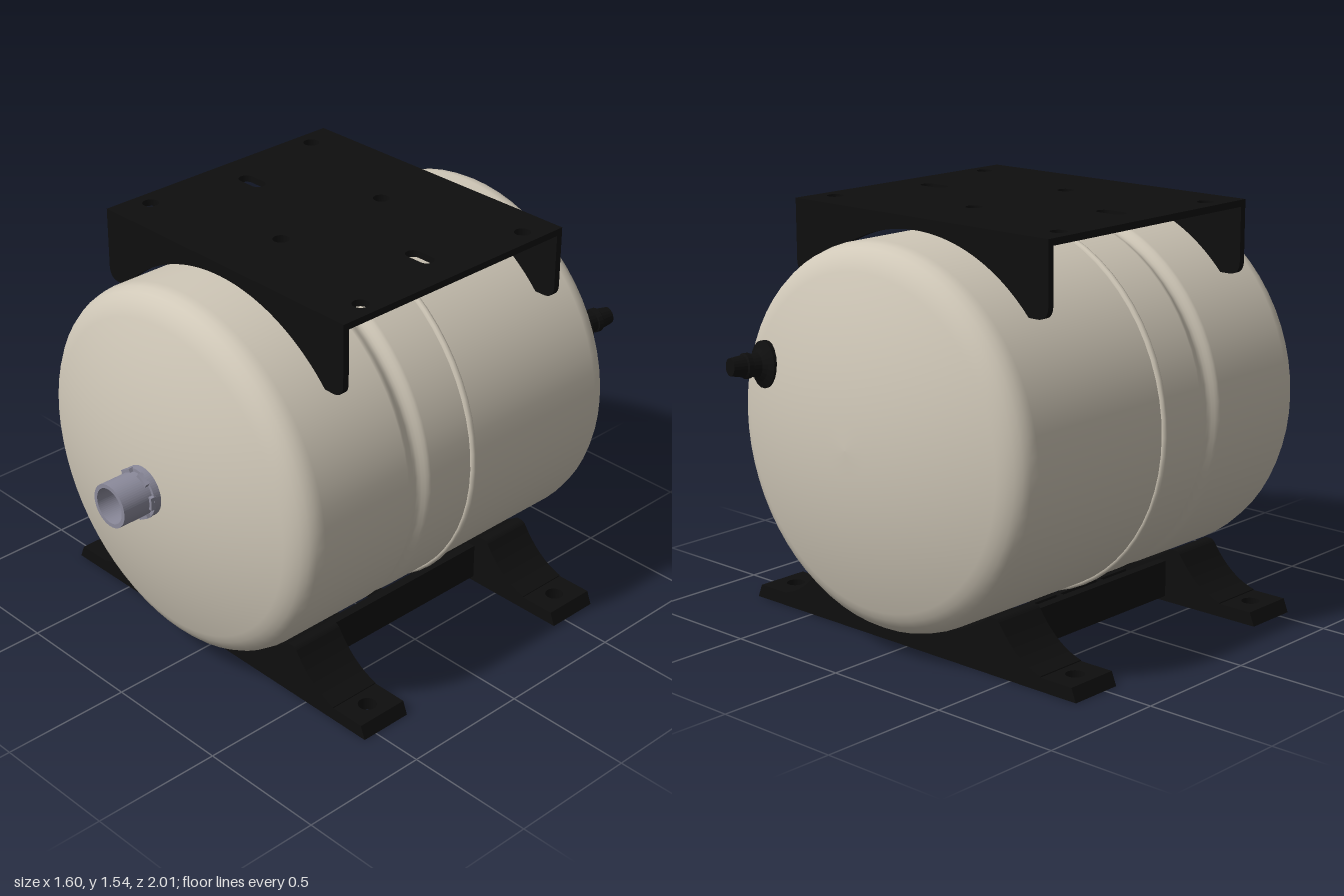
import * as THREE from 'three';

const TANK_Y = 0.79, TANK_X = -0.01, CRADLE_R = 0.71;
const mat = (color) => new THREE.MeshStandardMaterial({ color });
const black = mat(0x0e0e0e), cream = mat(0xd0c8b8), steel = mat(0x8c8b9c);
const V = (x, y) => new THREE.Vector2(x, y);

function add(parent, name, geo, material, x = 0, y = 0, z = 0) {
  const m = new THREE.Mesh(geo, material);
  m.name = name;
  m.position.set(x, y, z);
  parent.add(m);
  return m;
}

const box = (w, h, d) => new THREE.BoxGeometry(w, h, d);
const extrude = (shape, depth) =>
  new THREE.ExtrudeGeometry(shape, { depth, bevelEnabled: false, curveSegments: 24 });

// Hollow ring along y, from y = 0 to h
function ring(rIn, rOut, h, seg = 32) {
  const s = new THREE.Shape().absarc(0, 0, rOut, 0, Math.PI * 2);
  s.holes.push(new THREE.Path().absarc(0, 0, rIn, 0, Math.PI * 2, true));
  return new THREE.ExtrudeGeometry(s, { depth: h, bevelEnabled: false, curveSegments: seg })
    .rotateX(-Math.PI / 2);
}

// Flat horizontal plate with holes; holes are [x, z, radius, half slot length]
function plate(x0, x1, z0, z1, thick, holes) {
  const s = new THREE.Shape([V(x0, -z1), V(x1, -z1), V(x1, -z0), V(x0, -z0)]);
  for (const [x, z, r, half = 0] of holes) {
    const p = new THREE.Path();
    p.absarc(x + half, -z, r, Math.PI / 2, -Math.PI / 2, true);
    p.absarc(x - half, -z, r, -Math.PI / 2, -Math.PI * 1.5, true);
    s.holes.push(p);
  }
  return extrude(s, thick).rotateX(-Math.PI / 2);
}

function buildTank() {
  const g = new THREE.Group();
  g.name = 'tank';
  // Shallow dome with a rounded shoulder, as [radius, distance behind apex]
  const dome = [];
  for (let r = 0; r < 0.61; r += 0.1) dome.push([r, 0.3 * r * r]);
  dome.push([0.63, 0.122], [0.655, 0.138], [0.675, 0.158], [0.688, 0.182], [0.695, 0.215]);
  const profile = dome.map(([r, d]) => V(r, -0.945 + d));
  // Shallow rolled groove
  for (let i = 0; i <= 10; i++) {
    const t = i / 10;
    profile.push(V(0.695 - 0.011 * (1 - Math.cos(t * Math.PI * 2)), 0.13 + 0.11 * t));
  }
  profile.push(...dome.reverse().map(([r, d]) => V(r, 0.85 - d)));
  add(g, 'shell', new THREE.LatheGeometry(profile, 64).rotateX(Math.PI / 2), cream);
  add(g, 'seamBead', new THREE.TorusGeometry(0.694, 0.014, 10, 64), cream, 0, 0, -0.08);

  // Hollow water connection at the front
  const conn = new THREE.Group();
  conn.name = 'waterConnection';
  conn.rotation.x = Math.PI / 2;
  add(conn, 'pipe', ring(0.067, 0.082, 0.17), steel, 0, 0.83, 0);
  add(conn, 'pipeFloor', new THREE.CylinderGeometry(0.07, 0.07, 0.02, 32), steel, 0, 0.87, 0);
  add(conn, 'collar', ring(0.07, 0.094, 0.05), steel, 0, 0.825, 0);
  for (let i = 0; i < 6; i++) {
    const a = (i * Math.PI) / 3;
    add(conn, 'collarLug', box(0.016, 0.02, 0.05), steel,
      Math.cos(a) * 0.085, 0.88, -Math.sin(a) * 0.085).rotation.y = a;
  }
  g.add(conn);
  g.position.set(TANK_X, TANK_Y, 0);
  return g;
}

// Air valve set square to the back dome
function buildValve() {
  const g = new THREE.Group();
  g.name = 'airValve';
  const pts = [[0, -0.02], [0.085, -0.02], [0.085, 0.005], [0.06, 0.018], [0.045, 0.03], [0.04, 0.06],
    [0.046, 0.062], [0.046, 0.08], [0.04, 0.085], [0.032, 0.135], [0, 0.135]];
  const geo = new THREE.LatheGeometry(pts.map(([r, y]) => V(r, y)), 20).toNonIndexed();
  geo.computeVertexNormals();
  add(g, 'valveBody', geo, black);
  g.position.set(0.48, 1.0, -0.867);
  g.quaternion.setFromUnitVectors(new THREE.Vector3(0, 1, 0),
    new THREE.Vector3(0.22, 0.06, -1).normalize());
  return g;
}

function buildTopBracket() {
  const g = new THREE.Group();
  g.name = 'topBracket';
  const holes = [[0, 0.2, 0.03], [0, -0.29, 0.03]];
  for (const s of [-1, 1]) {
    holes.push([s * 0.43, -0.05, 0.028, 0.032], [s * 0.54, -0.45, 0.03], [s * 0.54, 0.34, 0.03]);
  }
  add(g, 'mountPlate', plate(-0.61, 0.61, -0.58, 0.485, 0.025, holes), black, 0, 1.52, 0);

  // End flanges cut to the curve of the tank
  const a = Math.asin((1.27 - TANK_Y) / CRADLE_R);
  const s = new THREE.Shape();
  s.moveTo(-0.61, 1.53);
  s.lineTo(-0.61, 1.32);
  s.quadraticCurveTo(-0.61, 1.27, -0.56, 1.27);
  s.absarc(0, TANK_Y, CRADLE_R, Math.PI - a, a, true);
  s.lineTo(0.56, 1.27);
  s.quadraticCurveTo(0.61, 1.27, 0.61, 1.32);
  s.lineTo(0.61, 1.53);
  for (const z of [0.46, -0.58]) add(g, 'endFlange', extrude(s, 0.025), black, 0, 0, z);
  // Weld bosses between plate and tank
  for (const z of [0.2, -0.29]) add(g, 'topBoss', ring(0.03, 0.072, 0.05), black, 0, 1.475, z);
  return g;
}

function buildBase() {
  const g = new THREE.Group();
  g.name = 'base';
  const a = Math.asin((TANK_Y - 0.21) / CRADLE_R);
  const s = new THREE.Shape();
  s.moveTo(-0.64, 0);
  s.lineTo(0.64, 0);
  s.lineTo(0.64, 0.054);
  s.quadraticCurveTo(0.53, 0.08, 0.45, 0.2);
  s.quadraticCurveTo(0.44, 0.21, 0.43, 0.21);
  s.absarc(0, TANK_Y, CRADLE_R, -a, -Math.PI + a, true);
  s.lineTo(-0.43, 0.21);
  s.quadraticCurveTo(-0.44, 0.21, -0.45, 0.2);
  s.quadraticCurveTo(-0.53, 0.08, -0.64, 0.054);

  for (const z of [0.45, -0.545]) {
    add(g, 'foot', extrude(s, 0.21), black, 0, 0, z - 0.105);
    for (const side of [-1, 1]) {
      const x = [side * 0.64, side * 0.8].sort((p, q) => p - q);
      const ear = plate(x[0], x[1], -0.105, 0.105, 0.05, [[side * 0.705, 0, 0.034]]);
      // Ease the outer top edge
      const p = ear.attributes.position;
      for (let i = 0; i < p.count; i++) {
        if (Math.abs(p.getX(i)) > 0.79 && p.getY(i) > 0.01) p.setX(i, side * 0.78);
      }
      ear.computeVertexNormals();
      add(g, 'footEar', ear, black, 0, 0, z);
    }
  }

  // Open frame joining the feet
  const midZ = -0.048, len = 0.8;
  for (const side of [-1, 1]) {
    add(g, 'sideRail', box(0.035, 0.14, len), black, side * 0.365, 0.09, midZ);
    add(g, 'longRib', box(0.02, 0.06, len), black, side * 0.18, 0.055, midZ);
  }
  for (const z of [0.18, -0.28]) {
    add(g, 'bottomBoss', ring(0.035, 0.085, 0.065), black, 0, 0.02, z);
    for (const side of [-1, 1]) {
      add(g, 'crossRib', box(0.3, 0.06, 0.02), black, side * 0.215, 0.055, z);
    }
  }
  add(g, 'middleRib', box(0.72, 0.06, 0.02), black, 0, 0.055, midZ);
  return g;
}

export function createModel() {
  const model = new THREE.Group();
  model.name = 'pressureTank';
  model.add(buildTank(), buildValve(), buildTopBracket(), buildBase());
  return model;
}
